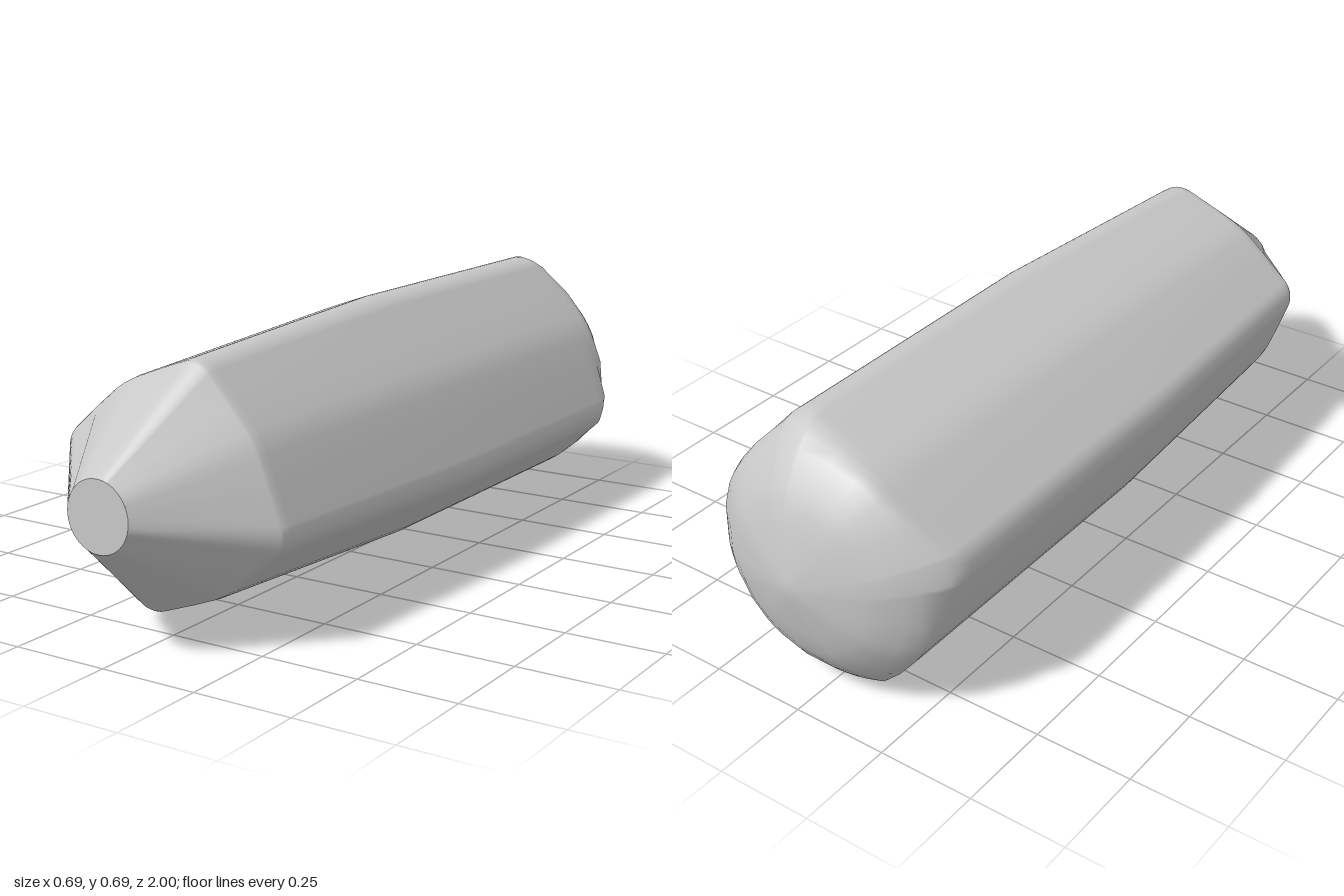
import * as THREE from 'three';

const CENTRE_Y = 0.345;
const TURN = 0.533; // rotation of the squarish section about the long axis

// Rounded square with softly bulged sides, as polar points
function sectionPoints() {
  const points = [];
  for (let side = 0; side < 4; side++) {
    const quarter = side * Math.PI / 2;
    const add = (x, y) => points.push({ angle: Math.atan2(y, x) + quarter + TURN, radius: Math.hypot(x, y) });
    add(0.302, -0.035);
    add(0.304, 0);
    add(0.302, 0.035);
    add(0.290, 0.11);
    for (let k = 0; k <= 8; k++) {
      const a = THREE.MathUtils.degToRad(11 + k * 68 / 8);
      add(0.198 + 0.074 * Math.cos(a), 0.198 + 0.074 * Math.sin(a));
    }
    add(0.11, 0.290);
  }
  return points;
}

// Stations along the grip: z, section scale, limiting round radius
const stations = [
  [1.0, 1, 0.085],
  [0.745, 0.865, 1],
  [0.735, 0.88, 1],
  [0.715, 0.888, 1],
  [0.0, 1, 1],
  [-0.78, 1, 1],
  [-0.81, 1, 0.35],
  [-0.835, 1, 0.338],
  [-0.86, 1, 0.318],
  [-0.885, 1, 0.293],
  [-0.91, 1, 0.265],
  [-0.935, 1, 0.23],
  [-0.957, 1, 0.19],
  [-0.973, 1, 0.135],
  [-0.988, 1, 0.075],
  [-0.997, 1, 0.025],
];

function gripGeometry() {
  const section = sectionPoints();
  const n = section.length;
  const positions = [];
  const index = [];
  for (const [z, scale, limit] of stations) {
    for (const p of section) {
      const r = Math.min(p.radius * scale, limit);
      positions.push(r * Math.cos(p.angle), r * Math.sin(p.angle), z);
    }
  }
  for (let s = 0; s < stations.length - 1; s++) {
    for (let i = 0; i < n; i++) {
      const j = (i + 1) % n;
      const a = s * n + i, b = s * n + j, c = a + n, d = b + n;
      index.push(a, c, b, b, c, d);
    }
  }
  // Close the domed end
  const apex = stations.length * n;
  const last = apex - n;
  positions.push(0, 0, -1);
  for (let i = 0; i < n; i++) index.push(last + i, apex, last + (i + 1) % n);

  const geometry = new THREE.BufferGeometry();
  geometry.setAttribute('position', new THREE.Float32BufferAttribute(positions, 3));
  geometry.setIndex(index);
  geometry.computeVertexNormals();
  return geometry;
}

export function createModel() {
  const model = new THREE.Group();
  model.name = 'handle';
  const grey = new THREE.MeshStandardMaterial({ color: 0xc8c8c8 });
  grey.name = 'light grey';

  // Grip with tapered nose and domed end
  const grip = new THREE.Mesh(gripGeometry(), grey);
  grip.name = 'grip';
  grip.position.y = CENTRE_Y;

  // Flat round face at the narrow end
  const tip = new THREE.Mesh(new THREE.CircleGeometry(0.085, 48), grey);
  tip.name = 'tipFace';
  tip.position.set(0, CENTRE_Y, 1);

  model.add(grip, tip);
  return model;
}
